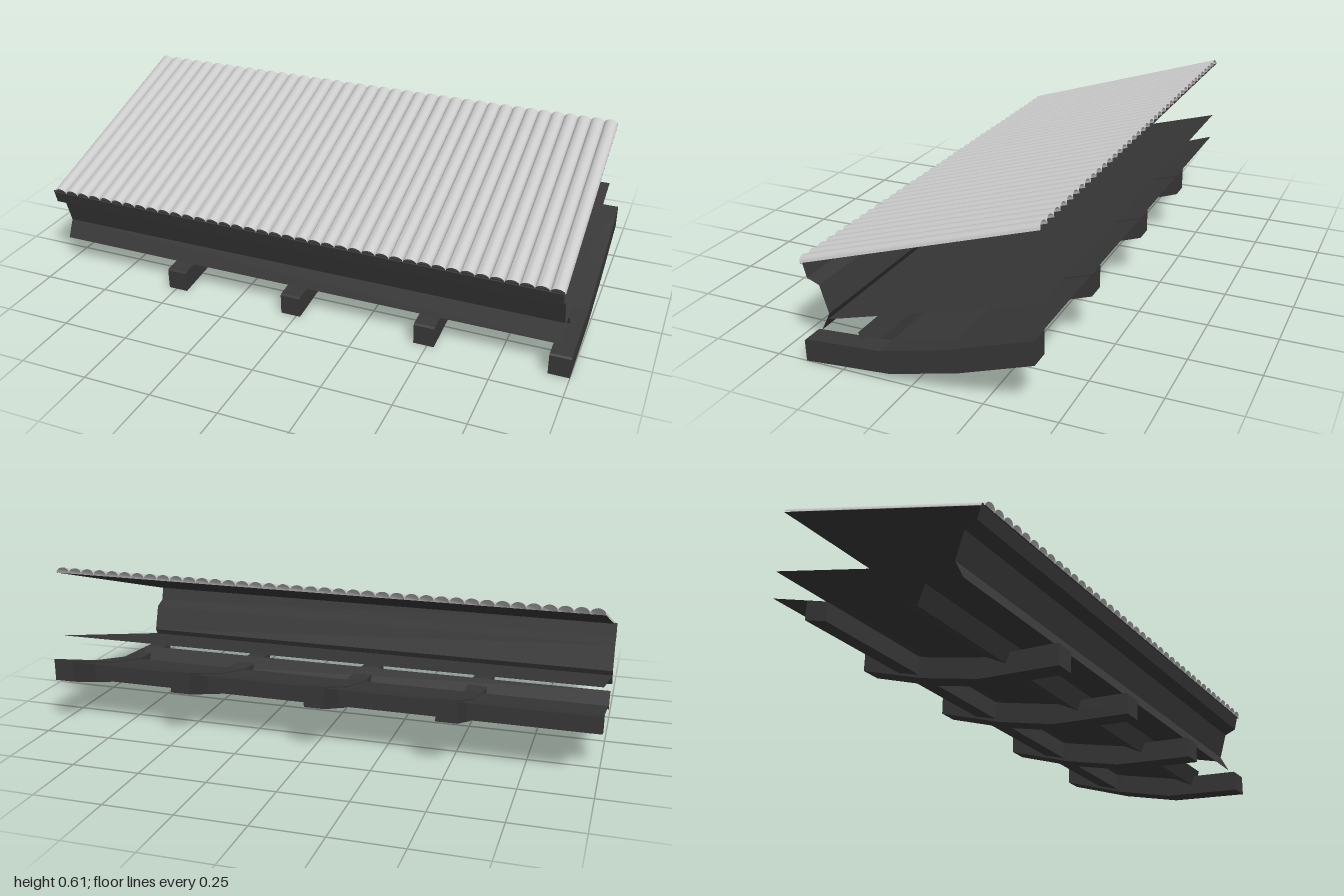
import * as THREE from 'three';
import { toCreasedNormals } from 'three/addons/utils/BufferGeometryUtils.js';

const dark = new THREE.MeshStandardMaterial({ color: 0x383838, side: THREE.DoubleSide });
const grey = new THREE.MeshStandardMaterial({ color: 0xcccccc, side: THREE.DoubleSide });

const add = (group, name, geometry, material) => {
  const mesh = new THREE.Mesh(geometry, material);
  mesh.name = name;
  group.add(mesh);
};

// Solid bar: outline of [z, y] points, running from x0 to x1
function bar(outline, x0, x1) {
  const shape = new THREE.Shape(outline.map(([z, y]) => new THREE.Vector2(-z, y)));
  return new THREE.ExtrudeGeometry(shape, { depth: x1 - x0, bevelEnabled: false })
    .rotateY(Math.PI / 2).translate(x0, 0, 0);
}

// Thin folded sheet: open profile of [z, y] points, running from x0 to x1
function sheet(profile, x0, x1) {
  const pos = [];
  for (let i = 0; i < profile.length - 1; i++) {
    const [z0, y0] = profile[i], [z1, y1] = profile[i + 1];
    pos.push(x0, y0, z0, x1, y0, z0, x1, y1, z1, x0, y0, z0, x1, y1, z1, x0, y1, z1);
  }
  const g = new THREE.BufferGeometry();
  g.setAttribute('position', new THREE.Float32BufferAttribute(pos, 3));
  g.computeVertexNormals();
  return g;
}

// Sloping sheet of half-round ribs running front to back, with sharp valleys
function ribbed(x0, x1, front, back, ribs, height) {
  const segs = 10;
  const g = new THREE.PlaneGeometry(1, 1, ribs * segs, 1);
  const p = g.attributes.position;
  const dz = back[0] - front[0], dy = back[1] - front[1], len = Math.hypot(dz, dy);
  for (let i = 0; i < p.count; i++) {
    const step = Math.round((p.getX(i) + 0.5) * ribs * segs), v = p.getY(i) + 0.5;
    const angle = (step % segs) / segs * Math.PI;
    const u = (Math.floor(step / segs) + (1 - Math.cos(angle)) / 2) / ribs;
    const h = height * Math.sin(angle);
    p.setXYZ(i, x0 + (x1 - x0) * u,
      front[1] + dy * v - h * dz / len,
      front[0] + dz * v + h * dy / len);
  }
  return toCreasedNormals(g, 0.9);
}

export function createModel() {
  const group = new THREE.Group();

  // Ribbed roof over a dark flat lining
  const front = [0.414, 0.33], back = [-0.424, 0.594];
  add(group, 'roofSheet', ribbed(-0.99, 0.96, front, back, 39, 0.02), grey);
  add(group, 'roofLining', sheet([front, back].map(([z, y]) => [z, y - 0.001]), -0.99, 0.96), dark);

  // Folded front wall, pinched in the middle
  add(group, 'frontWall', sheet([[0.41, 0.335], [0.395, 0.28], [0.35, 0.262],
    [0.32, 0.165], [0.352, 0.1]], -1, 0.955), dark);

  // Sloping panel rising from the wall to the back
  add(group, 'upperPanel', sheet([[0.325, 0.145], [-0.418, 0.353]], -1, 0.957), dark);

  // Bent floor let into the beams, with a front lip that leans forward
  add(group, 'floorSheet', sheet([[0.11, 0.097], [-0.13, 0.156], [-0.415, 0.25]], -1, 0.955), dark);
  add(group, 'floorLip', sheet([[0.215, 0.12], [0.188, 0.055], [0.11, 0.097]], -1, 0.955), dark);

  // Bent support beams
  const beam = [[0.39, 0], [0.08, 0.025], [-0.16, 0.085], [-0.422, 0.175],
    [-0.422, 0.258], [-0.13, 0.16], [0.11, 0.1], [0.385, 0.08], [0.392, 0.075]];
  for (const x of [-0.4925, -0.0225, 0.4875, 0.9625])
    add(group, 'supportBeam', bar(beam, x - 0.0375, x + 0.0375), dark);

  // Cross bar under the floor
  add(group, 'crossBar', bar([[-0.17, 0.1], [-0.26, 0.128], [-0.26, 0.198], [-0.17, 0.168]], -1, 0.95), dark);

  return group;
}
